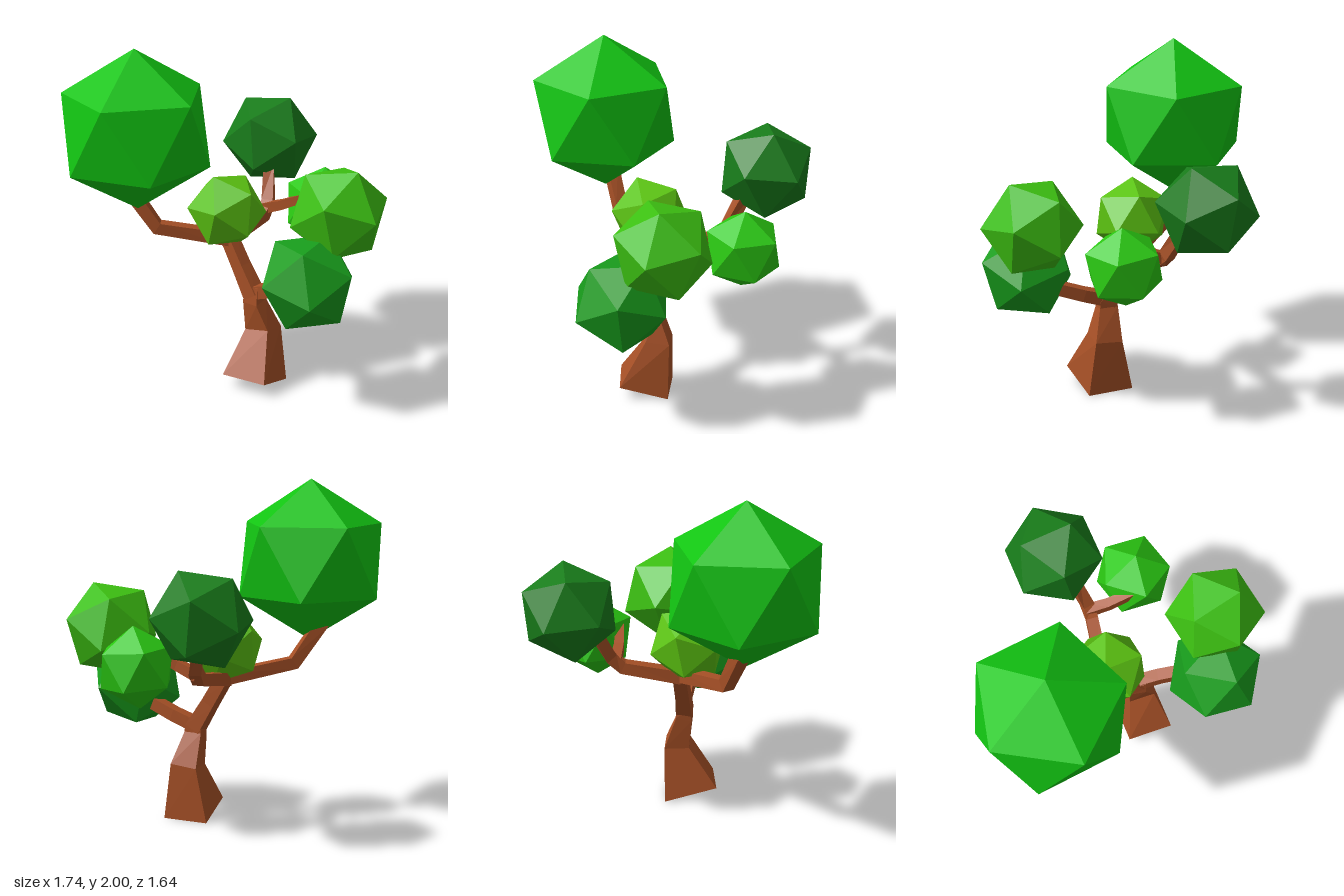
import * as THREE from 'three';

const V = (a) => new THREE.Vector3(...a);
const BARK = 0xa65026;

function part(name, geometry, color) {
  const mesh = new THREE.Mesh(geometry, new THREE.MeshStandardMaterial({ color, flatShading: true }));
  mesh.name = name;
  return mesh;
}

// Skin a stack of four-cornered rings and close both ends
function loft(rings) {
  const pos = [];
  const quad = (a, b, c, d) => [a, b, c, a, c, d].forEach((p) => pos.push(p.x, p.y, p.z));
  for (let i = 0; i < rings.length - 1; i++) {
    for (let j = 0; j < 4; j++) {
      const k = (j + 1) % 4;
      quad(rings[i][j], rings[i][k], rings[i + 1][k], rings[i + 1][j]);
    }
  }
  quad(...[...rings[0]].reverse());
  quad(...rings[rings.length - 1]);
  const g = new THREE.BufferGeometry();
  g.setAttribute('position', new THREE.Float32BufferAttribute(pos, 3));
  g.computeVertexNormals();
  return g;
}

// Square-section branch through points [x, y, z, radius]
function branch(name, points) {
  const p = points.map(([x, y, z]) => V([x, y, z]));
  const up = new THREE.Vector3(0, 1, 0);
  const rings = p.map((c, i) => {
    const t = new THREE.Vector3();
    if (i > 0) t.add(c.clone().sub(p[i - 1]).normalize());
    if (i < p.length - 1) t.add(p[i + 1].clone().sub(c).normalize());
    t.normalize();
    const s = up.clone().cross(t).normalize();
    const u = t.clone().cross(s);
    return [0, 1, 2, 3].map((k) => {
      const a = Math.PI / 4 + (k * Math.PI) / 2;
      const r = points[i][3];
      return c.clone().addScaledVector(s, r * Math.cos(a)).addScaledVector(u, r * Math.sin(a));
    });
  });
  return part(name, loft(rings), BARK);
}

// Orthonormal frame: first axis along a, second towards b
function frame(a, b) {
  const x = a.clone().normalize();
  const y = b.clone().addScaledVector(x, -b.dot(x)).normalize();
  return new THREE.Matrix4().makeBasis(x, y, x.clone().cross(y));
}

// Icosahedron turned so one corner points along a and its neighbour towards b
function foliage(name, color, center, radius, a, b) {
  const t = (1 + Math.sqrt(5)) / 2;
  const g = new THREE.IcosahedronGeometry(radius, 0);
  const from = frame(V([-1, t, 0]), V([1, t, 0]));
  g.applyMatrix4(frame(V(a), V(b)).multiply(from.transpose()));
  const mesh = part(name, g, color);
  mesh.position.set(...center);
  return mesh;
}

export function createModel() {
  const tree = new THREE.Group();
  tree.name = 'tree';

  // Trunk flaring to a tilted base
  const trunk = [
    [[0.025, 0.08, 0.236], [0.3, 0.08, 0.19], [0.245, 0, -0.087], [-0.03, 0, -0.07]],
    [[0.055, 0.323, 0.066], [0.21, 0.35, 0.05], [0.2, 0.335, -0.087], [0.035, 0.32, -0.08]],
    [[0.05, 0.5, 0.08], [0.15, 0.5, 0.08], [0.15, 0.52, -0.01], [0.04, 0.52, -0.01]],
    [[0.05, 0.59, 0.075], [0.15, 0.61, 0.07], [0.14, 0.61, -0.01], [0.05, 0.59, -0.01]],
  ];
  tree.add(part('trunk', loft(trunk.map((r) => r.map(V))), BARK));

  // Branches
  tree.add(
    branch('mainBranch', [[0.1, 0.54, 0.035, 0.068], [0.0, 0.7, 0.035, 0.058], [-0.1, 0.86, 0.03, 0.055]]),
    branch('leftBranch', [[0.09, 0.56, 0.03, 0.055], [0.24, 0.61, 0.03, 0.052], [0.46, 0.69, 0.05, 0.05]]),
    branch('rightBranch', [[-0.07, 0.85, 0.02, 0.055], [-0.4, 0.93, 0.32, 0.052], [-0.54, 1.17, 0.41, 0.055]]),
    branch('backBranch', [[-0.1, 0.85, 0.04, 0.055], [-0.115, 0.9, -0.3, 0.05], [-0.13, 0.96, -0.37, 0.05],
      [-0.2, 1.16, -0.46, 0.045]]),
    branch('backTwig', [[-0.13, 0.93, -0.34, 0.045], [0.0, 0.98, -0.34, 0.04], [0.17, 1.06, -0.36, 0.035]]),
  );

  // Foliage balls: colour, centre, radius, corner direction, neighbouring corner
  tree.add(
    foliage('largeFoliage', 0x12c412, [-0.455, 1.53, 0.42], 0.47, [0, 1, 0], [1, 0.5, 0]),
    foliage('backRightFoliage', 0x187c1a, [-0.285, 1.285, -0.575], 0.29, [0.115, 0.26, -0.05], [0.275, 0.04, 0.095]),
    foliage('backFoliage', 0x2ac812, [0.17, 0.977, -0.505], 0.235, [0.015, 0.23, -0.01], [0.1, 0.128, -0.187]),
    foliage('upperLeftFoliage', 0x3cc012, [0.58, 1.125, -0.12], 0.29, [0.126, 0.261, 0], [0.285, 0.01, 0.045]),
    foliage('lowerLeftFoliage', 0x189c1c, [0.553, 0.775, 0.12], 0.29, [-0.112, 0.02, 0.276], [0.2, -0.06, 0.215]),
    foliage('middleFoliage', 0x5cc412, [-0.076, 1.043, 0.075], 0.232, [0.09, 0.045, 0.215], [-0.022, 0.2, 0.09]),
  );
  return tree;
}
